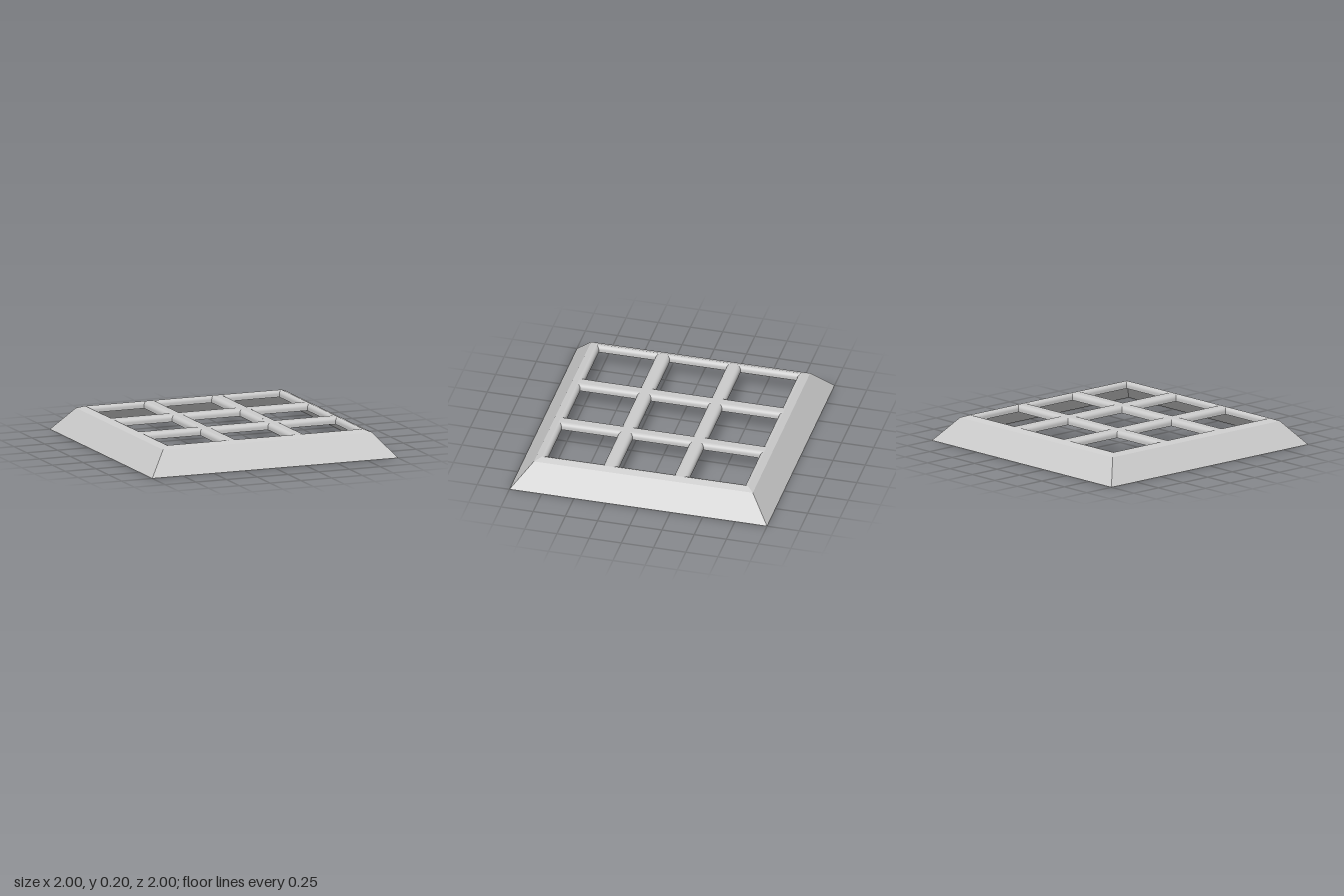
import * as THREE from 'three';

const material = new THREE.MeshStandardMaterial({ color: 0xcccccc, side: THREE.DoubleSide });

// Four mitred sides swept around a square; profile points are [half width, height].
function squareLoft(profile) {
  const positions = [], indices = [];
  const up = new THREE.Vector3(0, 1, 0);
  for (let side = 0; side < 4; side++) {
    const start = positions.length / 3;
    for (const [half, y] of profile) {
      for (const x of [-half, half]) {
        const p = new THREE.Vector3(x, y, half).applyAxisAngle(up, side * Math.PI / 2);
        positions.push(p.x, p.y, p.z);
      }
    }
    for (let i = 0; i < profile.length - 1; i++) {
      const a = start + i * 2;
      indices.push(a, a + 1, a + 3, a, a + 3, a + 2);
    }
  }
  const geometry = new THREE.BufferGeometry();
  geometry.setAttribute('position', new THREE.Float32BufferAttribute(positions, 3));
  geometry.setIndex(indices);
  geometry.computeVertexNormals();
  return geometry;
}

export function createModel() {
  const group = new THREE.Group();
  const add = (name, geometry, x = 0, y = 0, z = 0) => {
    const mesh = new THREE.Mesh(geometry, material);
    mesh.name = name;
    mesh.position.set(x, y, z);
    group.add(mesh);
  };

  const top = 0.2, pitch = 0.55, opening = 0.25, radius = 0.03;
  const cells = [-pitch, 0, pitch];

  // Hollow sloping skirt and the shallower bevel above it
  add('skirt', squareLoft([[1, 0], [0.85, 0.18]]));
  add('rimBevel', squareLoft([[0.85, 0.18], [0.8, top]]));

  // Flat tops of the lattice bars
  const barWidth = pitch - 2 * opening;
  const longBar = new THREE.PlaneGeometry(barWidth, 1.6).rotateX(-Math.PI / 2);
  const crossBar = new THREE.PlaneGeometry(2 * opening, barWidth).rotateX(-Math.PI / 2);
  for (const s of [-pitch / 2, pitch / 2]) {
    add('longBar', longBar, s, top, 0);
    for (const x of cells) add('crossBar', crossBar, x, top, s);
  }

  // Rounded lip turning down into each of the nine openings
  const profile = [];
  for (let i = 0; i <= 6; i++) {
    const t = i / 6 * Math.PI / 2;
    profile.push([opening - radius * Math.sin(t), top - radius + radius * Math.cos(t)]);
  }
  profile.push([opening - radius, 0.15]);
  const lip = squareLoft(profile);
  for (const x of cells) for (const z of cells) add('openingLip', lip, x, 0, z);

  return group;
}
